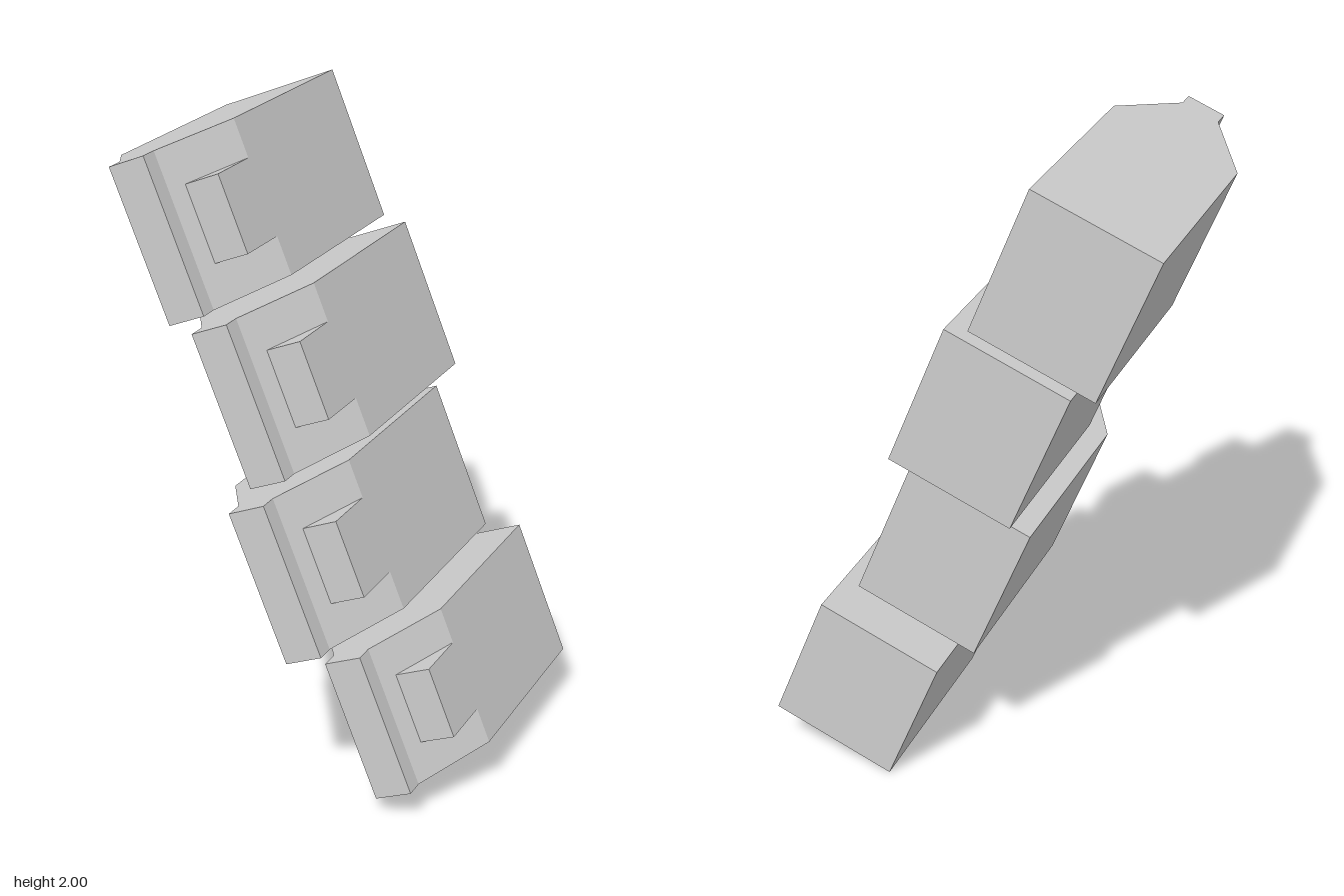
import * as THREE from 'three';

const TILT = THREE.MathUtils.degToRad(22);
const material = new THREE.MeshStandardMaterial({ color: 0xcccccc, flatShading: true });

// Upright prism from a plan outline of [x, z] points, centred on y = 0
function prism(name, outline, height) {
  const shape = new THREE.Shape(outline.map(([x, z]) => new THREE.Vector2(x, -z)));
  const geometry = new THREE.ExtrudeGeometry(shape, { depth: height, bevelEnabled: false });
  geometry.rotateX(-Math.PI / 2).translate(0, -height / 2, 0);
  const mesh = new THREE.Mesh(geometry, material);
  mesh.name = name;
  return mesh;
}

// Plan outlines, with z = 0 at the narrow front face
const HALF = 0.202, NOSE = 0.06;
const bodyOutline = [
  [-HALF, -0.962], [HALF, -0.962], [HALF, -0.295], [NOSE, -0.06],
  [NOSE, 0], [-NOSE, 0], [-NOSE, -0.06], [-HALF, -0.295],
];
const lugOutline = [[HALF, -0.295], [HALF, -0.108], [0.089, -0.108], [0.06, -0.2]];

// One block: a tapered body with a wedge lug on its left cheek
function createBlock(height) {
  const block = new THREE.Group();
  block.add(prism('blockBody', bodyOutline, height));
  block.add(prism('wedgeLug', lugOutline, height * 0.5));
  return block;
}

// Centre x, centre y, front z and height of each block, top to bottom
const blocks = [
  [-0.323, 1.702, 0.455, 0.48],
  [-0.068, 1.246, 0.463, 0.48],
  [0.075, 0.743, 0.529, 0.48],
  [0.328, 0.286, 0.433, 0.446],
];

export function createModel() {
  const model = new THREE.Group();
  model.name = 'blockStack';
  blocks.forEach(([x, y, z, height], i) => {
    const block = createBlock(height);
    block.name = `block${i + 1}`;
    block.position.set(x, y, z);
    block.rotation.z = TILT;
    model.add(block);
  });
  return model;
}
